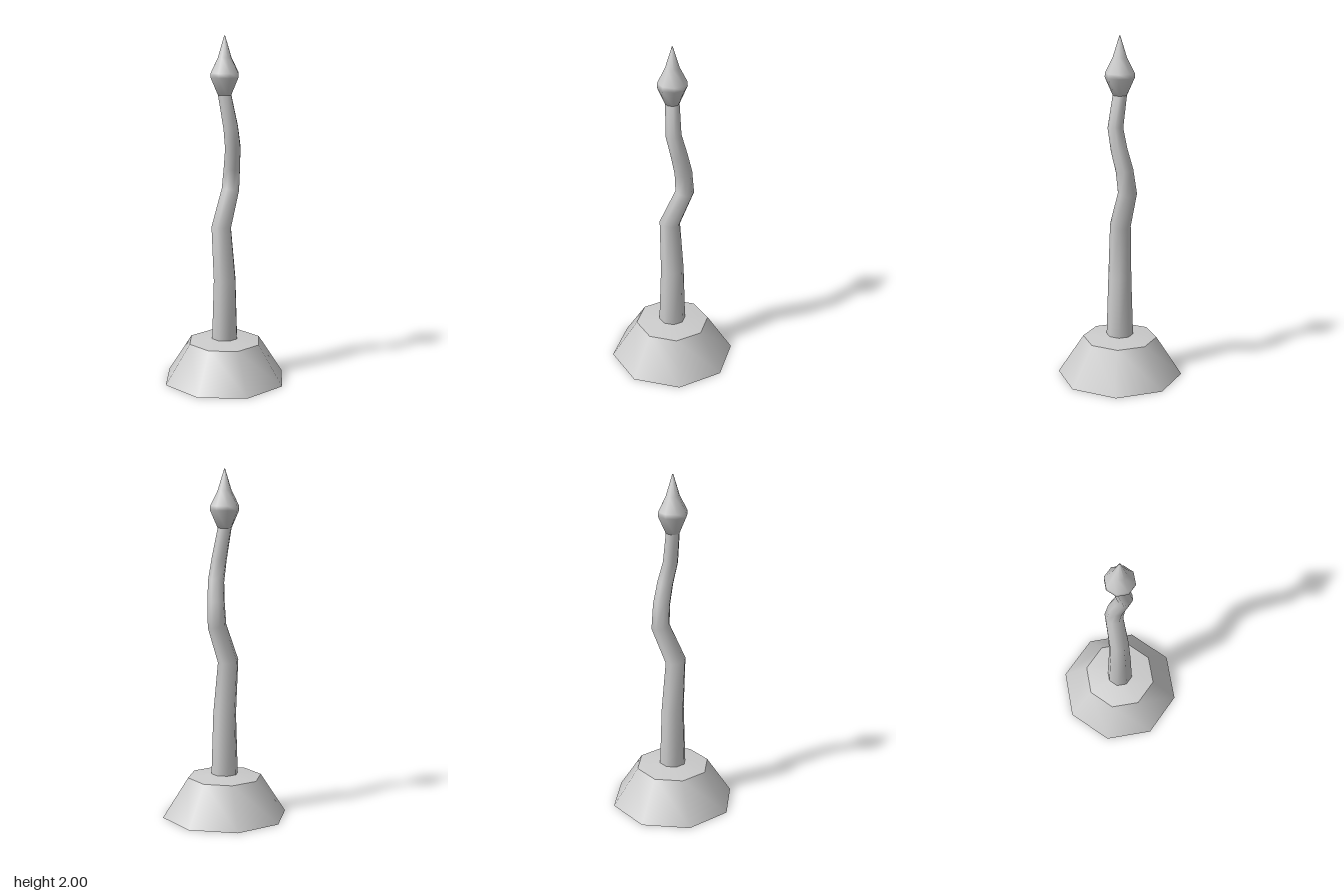
import * as THREE from 'three';

const SIDES = 8;
const TWIST = 0.11; // shared rotation of all octagonal sections

const material = new THREE.MeshStandardMaterial({ color: 0xcccccc, side: THREE.DoubleSide });

function lathe(name, profile) {
  const points = profile.map(([r, y]) => new THREE.Vector2(r, y));
  const mesh = new THREE.Mesh(new THREE.LatheGeometry(points, SIDES, TWIST), material);
  mesh.name = name;
  return mesh;
}

// Smooth tapered tube whose rings lean with the path: rows of [x, y, z, radius]
function bentTube(name, rows) {
  const centres = rows.map(([x, y, z]) => new THREE.Vector3(x, y, z));
  const up = new THREE.Vector3(0, 1, 0);
  const last = rows.length - 1;
  const positions = [];
  const indices = [];
  centres.forEach((centre, i) => {
    const tangent = up.clone();
    if (i > 0 && i < last) {
      const before = centre.clone().sub(centres[i - 1]).normalize();
      const after = centres[i + 1].clone().sub(centre).normalize();
      tangent.copy(before.add(after).normalize());
    }
    const lean = new THREE.Quaternion().setFromUnitVectors(up, tangent);
    for (let j = 0; j < SIDES; j++) {
      const a = TWIST + (j / SIDES) * Math.PI * 2;
      const p = new THREE.Vector3(Math.sin(a), 0, Math.cos(a)).multiplyScalar(rows[i][3]);
      positions.push(...p.applyQuaternion(lean).add(centre).toArray());
      if (i < last) {
        const k = (j + 1) % SIDES;
        const a0 = i * SIDES + j, b0 = i * SIDES + k;
        indices.push(a0, b0, b0 + SIDES, a0, b0 + SIDES, a0 + SIDES);
      }
    }
  });
  const geometry = new THREE.BufferGeometry();
  geometry.setAttribute('position', new THREE.Float32BufferAttribute(positions, 3));
  geometry.setIndex(indices);
  geometry.computeVertexNormals();
  const mesh = new THREE.Mesh(geometry, material);
  mesh.name = name;
  return mesh;
}

export function createModel() {
  const group = new THREE.Group();
  group.name = 'crookedPost';

  // Hollow flared foot, open underneath
  group.add(lathe('baseWall', [[0.365, 0], [0.216, 0.23]]));
  group.add(lathe('baseTop', [[0.216, 0.23], [0.077, 0.248], [0, 0.248]]));

  // Crooked tapering stem
  group.add(bentTube('stem', [
    [0, 0.245, 0, 0.078],
    [0, 0.6, 0, 0.067],
    [-0.02, 0.91, 0, 0.06],
    [0.048, 1.12, -0.052, 0.054],
    [0.052, 1.25, -0.036, 0.05],
    [0.049, 1.37, -0.004, 0.047],
    [0.03, 1.49, 0.02, 0.044],
    [0, 1.67, 0, 0.04],
  ]));

  // Pointed bud at the tip
  group.add(lathe('tip', [
    [0, 1.67], [0.04, 1.67], [0.084, 1.77], [0.083, 1.795], [0.04, 1.88], [0.003, 2],
  ]));

  return group;
}
